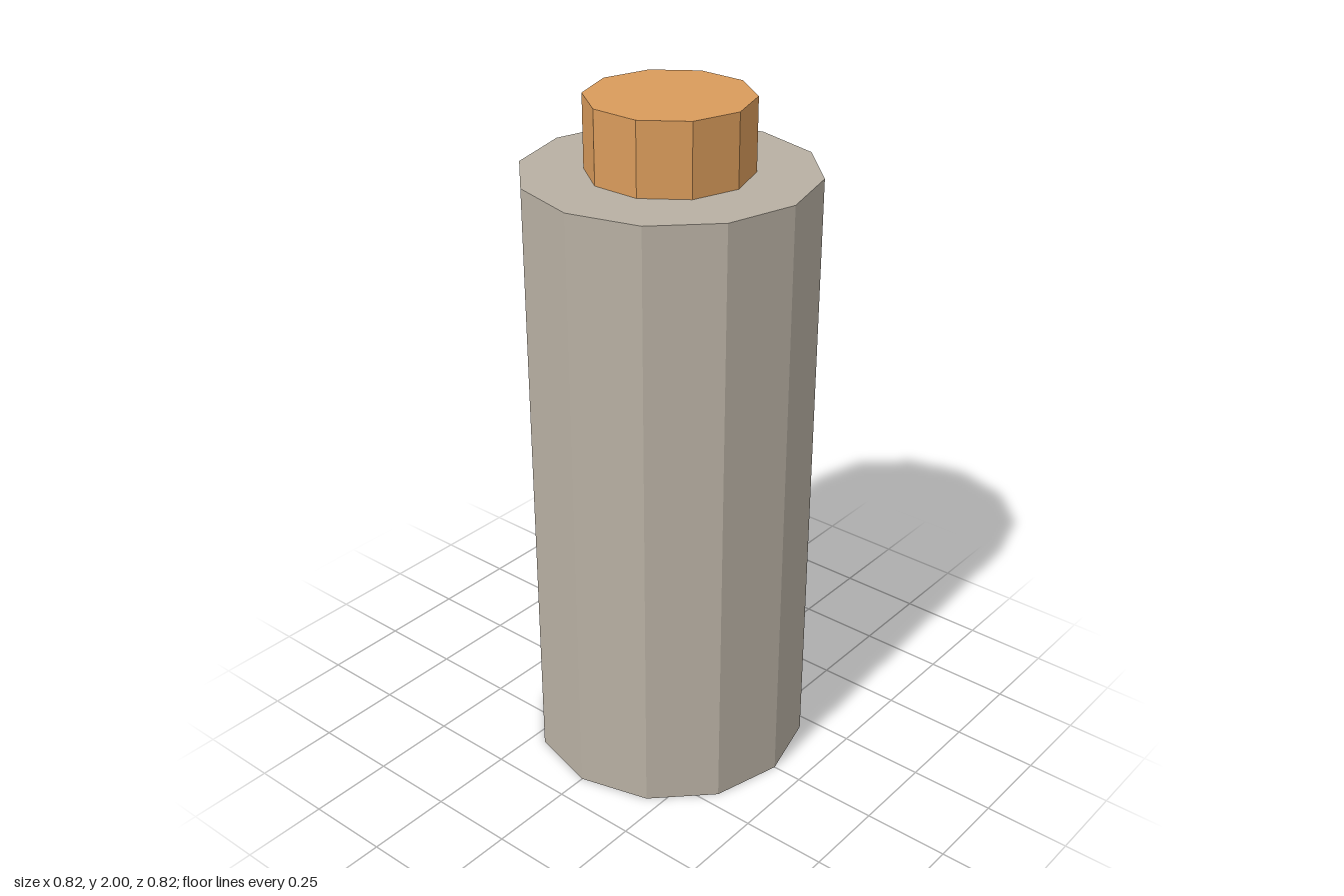
import * as THREE from 'three';

// Upright prism with a corner on the +x axis
function prism(name, radius, sides, bottom, top, color) {
  const geometry = new THREE.CylinderGeometry(radius, radius, top - bottom, sides, 1, false, Math.PI / 2);
  const material = new THREE.MeshStandardMaterial({ color, flatShading: true });
  const mesh = new THREE.Mesh(geometry, material);
  mesh.name = name;
  mesh.position.y = (bottom + top) / 2;
  return mesh;
}

export function createModel() {
  const model = new THREE.Group();
  model.name = 'cappedCylinder';
  model.add(
    prism('body', 0.41, 12, 0, 1.795, 0xb8b0a3), // twelve-sided main body
    prism('cap', 0.23, 10, 1.795, 2, 0xd99b5b), // ten-sided terminal on top
  );
  return model;
}
